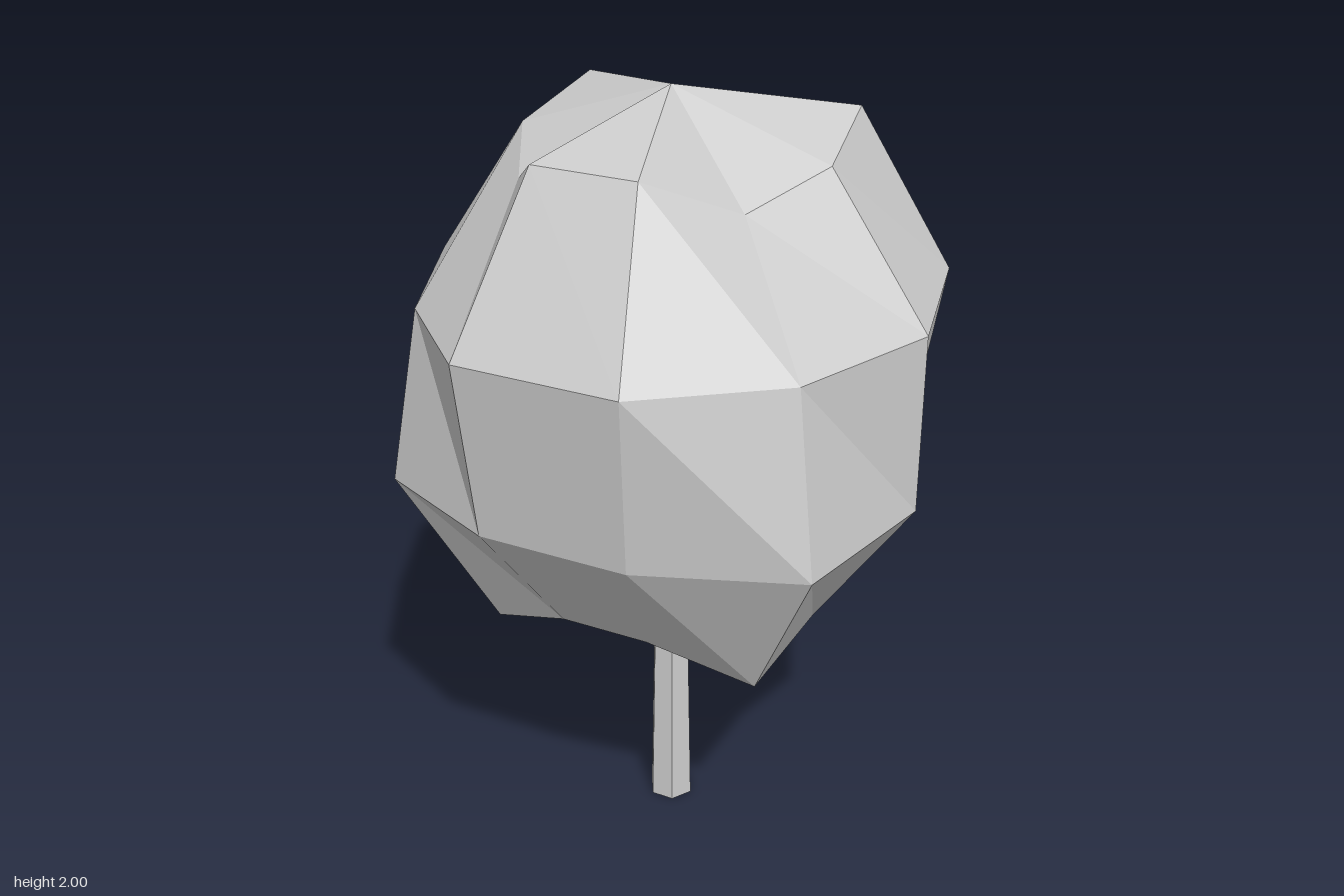
import * as THREE from 'three';

// Distance of each crown vertex from its centre, going round from -x through +z.
// The lower half repeats the upper half through the centre (shifted by half a turn).
const UPPER = [0.692, 0.612, 0.74, 0.74, 0.612, 0.692, 0.774, 0.646, 0.646, 0.774];
const MIDDLE = [0.694, 0.652, 0.72, 0.72, 0.652, 0.694, 0.736, 0.662, 0.662, 0.736];
const POLE = 0.692;
const SIDES = 10;
const RINGS = 5;

function crownRadius(ring, side) {
  if (ring === 0 || ring === RINGS) return POLE;
  const lower = ring > 2;
  const row = ring === 1 || ring === 4 ? UPPER : MIDDLE;
  return row[(side + (lower ? SIDES / 2 : 0)) % SIDES];
}

// Low-poly ball whose vertices are pushed in and out, slightly stretched upwards
function createCrown(material) {
  const geometry = new THREE.SphereGeometry(1, SIDES, RINGS);
  const position = geometry.attributes.position;
  const point = new THREE.Vector3();
  for (let i = 0; i < position.count; i++) {
    const ring = Math.floor(i / (SIDES + 1));
    const side = i % (SIDES + 1);
    point.fromBufferAttribute(position, i).multiplyScalar(crownRadius(ring, side));
    position.setXYZ(i, point.x, point.y * 1.055, point.z);
  }
  const flat = geometry.toNonIndexed();
  flat.computeVertexNormals();
  const crown = new THREE.Mesh(flat, material);
  crown.name = 'crown';
  crown.position.y = 1.27;
  return crown;
}

// Six-sided tapering trunk
function createTrunk(material) {
  const height = 0.555;
  const geometry = new THREE.CylinderGeometry(0.05, 0.061, height, 6).toNonIndexed();
  geometry.computeVertexNormals();
  geometry.rotateY(Math.PI / 6);
  const trunk = new THREE.Mesh(geometry, material);
  trunk.name = 'trunk';
  trunk.position.y = height / 2;
  return trunk;
}

export function createModel() {
  const grey = new THREE.MeshStandardMaterial({ color: 0xcccccc });
  grey.name = 'light grey';
  grey.flatShading = true;

  const tree = new THREE.Group();
  tree.name = 'tree';
  tree.add(createCrown(grey), createTrunk(grey));
  return tree;
}
